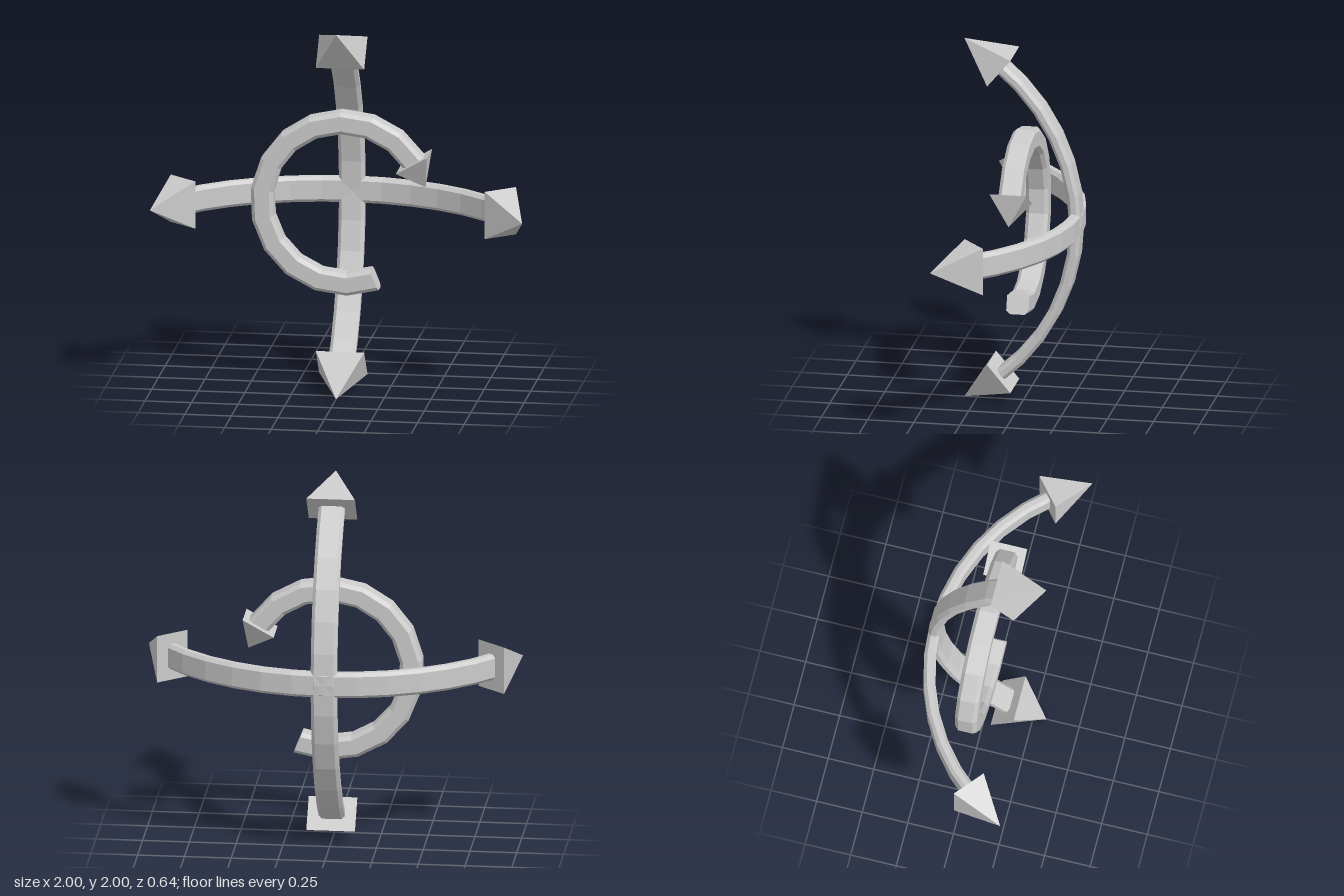
import * as THREE from 'three';
import { ConvexGeometry } from 'three/addons/geometries/ConvexGeometry.js';
import { mergeGeometries } from 'three/addons/utils/BufferGeometryUtils.js';

const material = new THREE.MeshStandardMaterial({ color: 0xcccccc, flatShading: true });
const rad = THREE.MathUtils.degToRad;

function mesh(name, geometry) {
  const m = new THREE.Mesh(geometry, material);
  m.name = name;
  return m;
}

// Chamfered bar bent round the y axis, with a cap on its starting end
function bentBar(radius, thick, wide, bevel, start, sweep, segments) {
  const a = thick / 2, b = wide / 2;
  const profile = [
    [a, -b + bevel], [a, b - bevel], [a - bevel, b], [-a + bevel, b],
    [-a, b - bevel], [-a, -b + bevel], [-a + bevel, -b], [a - bevel, -b],
  ].map(([x, y]) => new THREE.Vector2(radius + x, y));
  const cap = new THREE.ShapeGeometry(new THREE.Shape(profile));
  cap.rotateY(rad(start) - Math.PI / 2);
  const bar = new THREE.LatheGeometry([...profile, profile[0].clone()], segments, rad(start), rad(sweep));
  return mergeGeometries([bar, cap]);
}

// Pyramid arrowhead: base centre, tip, and the two half-side vectors of the base
function arrowhead(base, tip, u, v) {
  const points = [tip];
  for (const [i, j] of [[1, 1], [1, -1], [-1, -1], [-1, 1]]) {
    points.push(base.clone().addScaledVector(u, i).addScaledVector(v, j));
  }
  return new ConvexGeometry(points);
}

const V = (x, y, z) => new THREE.Vector3(x, y, z);

// Bowed bar with an arrowhead at each end
function doubleArrow(name) {
  const g = new THREE.Group();
  g.name = name;
  const bar = mesh('bowedBar', bentBar(1.112, 0.064, 0.14, 0.018, 128, 104, 12));
  bar.position.z = 0.824;
  g.add(bar);
  for (const s of [1, -1]) {
    g.add(mesh(s > 0 ? 'arrowheadA' : 'arrowheadB', arrowhead(
      V(s * 0.852, 0, 0.11), V(s, 0, 0.32), V(s * 0.075, 0, -0.063), V(0, 0.13, 0))));
  }
  return g;
}

export function createModel() {
  const model = new THREE.Group();
  model.name = 'rotationArrows';

  // Crossed pair of double arrows
  const horizontal = doubleArrow('horizontalArrow');
  const vertical = doubleArrow('verticalArrow');
  vertical.rotation.z = Math.PI / 2;

  // Open ring arrow in front, running clockwise from its blunt tail
  const roll = new THREE.Group();
  roll.name = 'ringArrow';
  const ring = mesh('ringBar', bentBar(0.443, 0.12, 0.12, 0.02, -202, 260, 13));
  ring.rotation.x = -Math.PI / 2;
  roll.add(ring, mesh('ringArrowhead', arrowhead(
    V(0.372, 0.237, 0), V(0.435, 0.098, 0), V(0.083, 0.046, 0), V(0, 0, 0.1))));

  model.add(horizontal, vertical, roll);
  for (const part of model.children) part.position.y = 1;
  return model;
}
